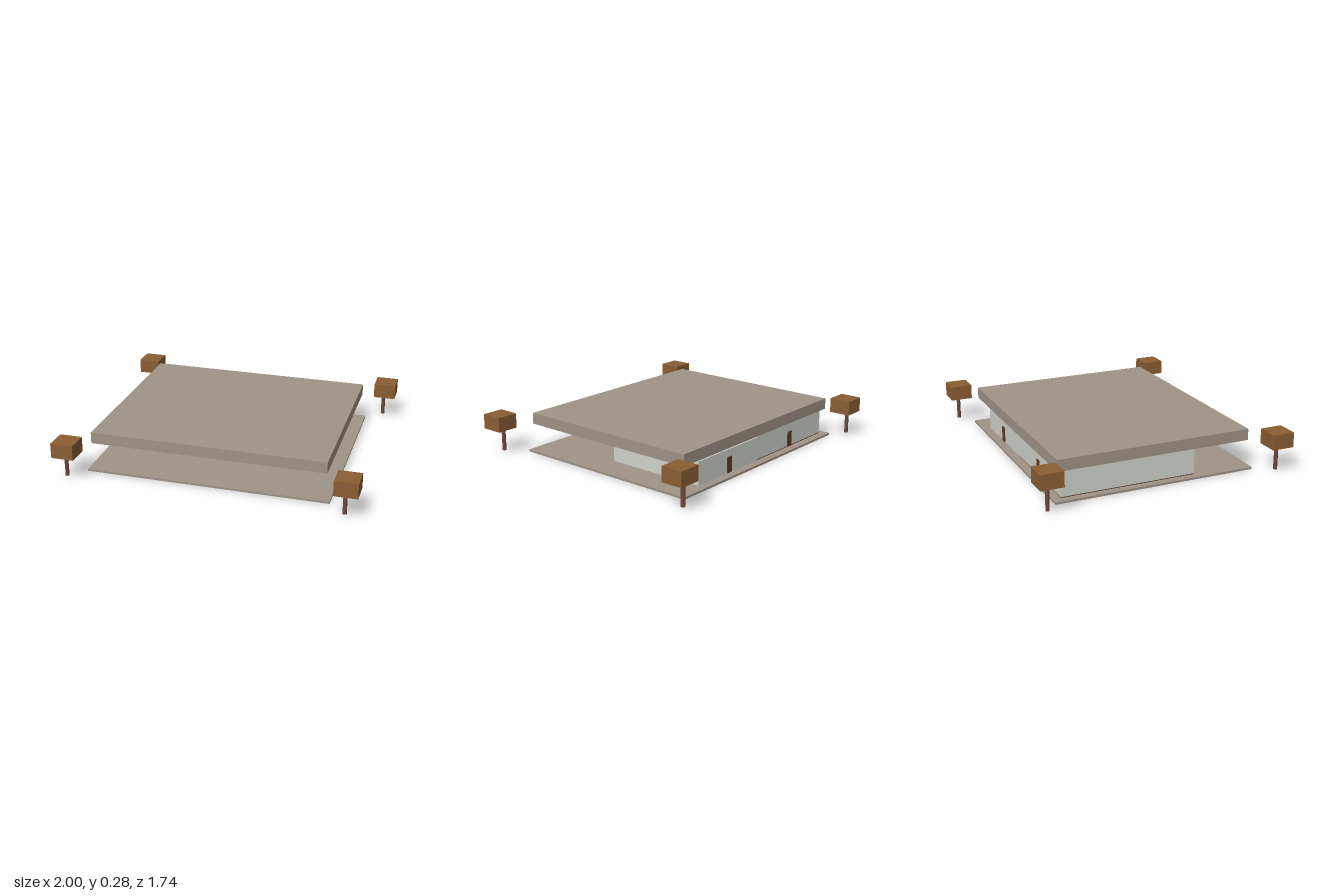
import * as THREE from 'three';

const mat = (color) => new THREE.MeshStandardMaterial({ color, flatShading: true });

export function createModel() {
  const model = new THREE.Group();
  model.name = 'pavilion';
  const stone = mat(0x9f9487), plaster = mat(0xd0d4cc), brown = mat(0x5c3d24);
  const leaf = mat(0x8b5e34), bark = mat(0x6d4a3c);

  // Box given by its limits along each axis
  const box = (name, [x0, x1], [y0, y1], [z0, z1], material, parent = model) => {
    const mesh = new THREE.Mesh(new THREE.BoxGeometry(x1 - x0, y1 - y0, z1 - z0), material);
    mesh.position.set((x0 + x1) / 2, (y0 + y1) / 2, (z0 + z1) / 2);
    mesh.name = name;
    parent.add(mesh);
    return mesh;
  };

  // Ground slab and flat roof
  box('baseSlab', [-0.847, 0.793], [0, 0.015], [-0.72, 0.663], stone);
  box('roof', [-0.82, 0.767], [0.198, 0.275], [-0.693, 0.64], stone);

  // Two joined room blocks, the main one on a thin floor
  box('mainFloor', [-0.797, -0.03], [0.015, 0.02], [-0.663, 0.257], brown);
  box('mainRoom', [-0.797, -0.03], [0.02, 0.198], [-0.663, 0.257], plaster);
  box('sideRoom', [-0.03, 0.59], [0.015, 0.175], [-0.663, 0.052], plaster);

  // Back doors
  for (const x of [-0.41, 0.276]) {
    box('backDoor', [x - 0.023, x + 0.023], [0.017, 0.124], [-0.669, -0.66], brown);
  }

  // Corner trees: block crown on a slightly offset trunk
  for (const x of [-0.924, 0.924]) {
    for (const z of [-0.795, 0.795]) {
      const tree = new THREE.Group();
      tree.name = 'cornerTree';
      tree.position.set(x, 0, z);
      box('crown', [-0.076, 0.076], [0.174, 0.275], [-0.076, 0.076], leaf, tree);
      const trunk = new THREE.Mesh(new THREE.CylinderGeometry(0.0135, 0.0135, 0.16, 8), bark);
      trunk.name = 'trunk';
      trunk.position.set(-0.014, 0.096, -0.011);
      tree.add(trunk);
      model.add(tree);
    }
  }
  return model;
}
